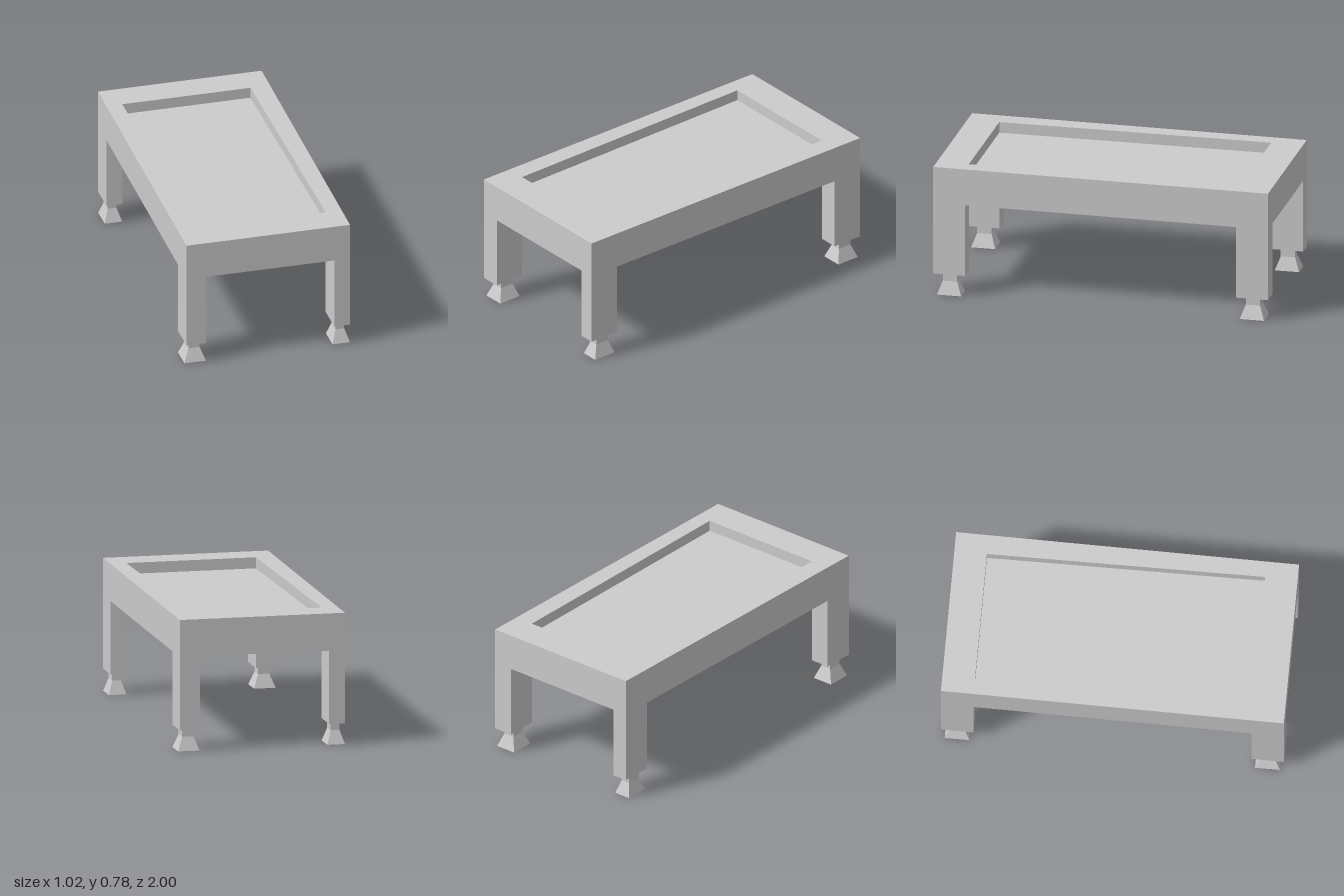
import * as THREE from 'three';

const material = new THREE.MeshStandardMaterial({ color: 0xcccccc, flatShading: true });

// heights
const TOP = 0.78, BED = 0.715, APRON = 0.56, LEG = 0.127, NECK = 0.08;

// slightly skewed outline of the table and of its recess, as [x, z]
const outer = (sx, sz) => [sx * 0.4925 - sz * 0.0105, sz];
const inner = (sx, sz) => [sx * 0.386 + sz * 0.002, sz * 0.81];
const ring = (corner) => [corner(-1, 1), corner(1, 1), corner(1, -1), corner(-1, -1)];
const toPoints = (list) => list.map(([x, z]) => new THREE.Vector2(x, -z));

// upright prism over a plan outline
function prism(outline, y0, y1, hole) {
  const shape = new THREE.Shape(toPoints(outline));
  if (hole) shape.holes.push(new THREE.Path(toPoints(hole)));
  const geometry = new THREE.ExtrudeGeometry(shape, { depth: y1 - y0, bevelEnabled: false });
  return geometry.rotateX(-Math.PI / 2).translate(0, y0, 0);
}

// box whose bottom is wider than its top
function flare(topW, topD, bottomW, bottomD, y0, y1) {
  const geometry = new THREE.BoxGeometry(1, y1 - y0, 1);
  const p = geometry.attributes.position;
  for (let i = 0; i < p.count; i++) {
    const up = p.getY(i) > 0;
    p.setX(i, p.getX(i) * (up ? topW : bottomW));
    p.setZ(i, p.getZ(i) * (up ? topD : bottomD));
  }
  geometry.computeVertexNormals();
  return geometry.translate(0, (y0 + y1) / 2, 0);
}

function add(parent, name, geometry) {
  const mesh = new THREE.Mesh(geometry, material);
  mesh.name = name;
  parent.add(mesh);
  return mesh;
}

export function createModel() {
  const table = new THREE.Group();
  table.name = 'table';

  // frame and the sunken bed inside it
  add(table, 'frame', prism(ring(outer), APRON, TOP, ring(inner)));
  add(table, 'bed', prism(ring(inner), APRON, BED));

  // four corner legs, each on a flared foot
  for (const sz of [1, -1]) {
    for (const sx of [1, -1]) {
      const side = (sz > 0 ? 'front' : 'back') + (sx > 0 ? 'Left' : 'Right');
      const [ox, oz] = outer(sx, sz);
      const [ix, iz] = inner(sx, sz);
      const edgeX = ox + 0.021 * sz * (1 - 0.81) / 2;
      const plan = [[ox, oz], [ix, oz], [ix, iz], [edgeX, iz]];
      add(table, side + 'Leg', prism(plan, LEG, APRON));

      const foot = new THREE.Group();
      foot.name = side + 'Foot';
      const w = Math.abs(ox - ix);
      foot.position.set((ox + ix) / 2, 0, (oz + iz) / 2);
      add(foot, 'neck', flare(w * 0.56, 0.086, w * 0.56, 0.086, NECK, LEG));
      add(foot, 'base', flare(w * 0.56, 0.086, w + 0.01, 0.145, 0, NECK));
      table.add(foot);
    }
  }
  return table;
}
